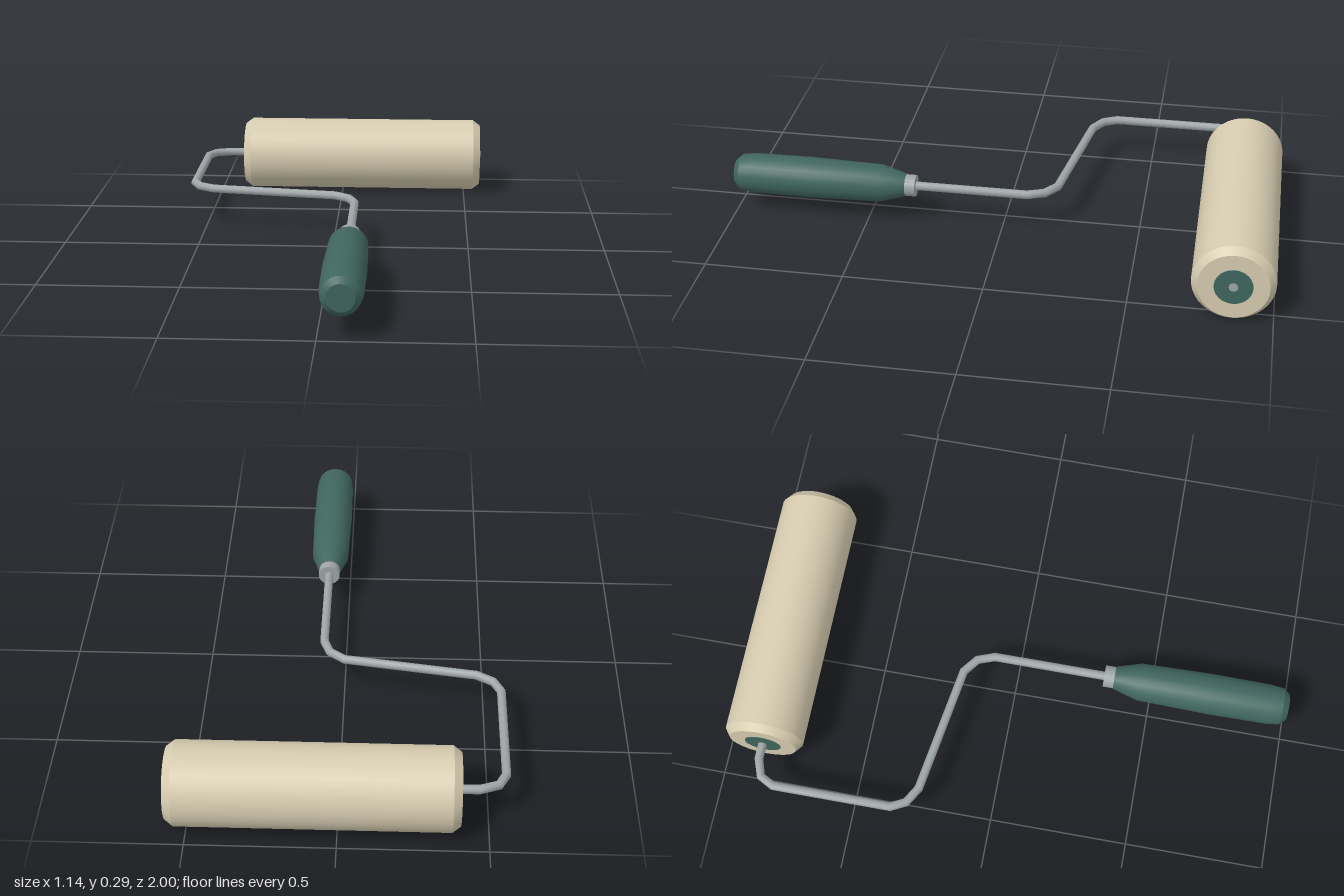
import * as THREE from 'three';
import { toCreasedNormals } from 'three/addons/utils/BufferGeometryUtils.js';

const Y = 0.143; // height of every axis
const ROLLER_Z = -0.858;
const HANDLE_X = 0.077;

// Polyline curve whose samples land exactly on its corners, with mitred tangents
class BentWire extends THREE.Curve {
  constructor(points) {
    super();
    this.points = points;
  }
  getPointAt(t, target = new THREE.Vector3()) {
    const f = t * (this.points.length - 1);
    const i = Math.min(Math.floor(f + 1e-6), this.points.length - 2);
    return target.lerpVectors(this.points[i], this.points[i + 1], f - i);
  }
  getTangentAt(t, target = new THREE.Vector3()) {
    const p = this.points, last = p.length - 1;
    const i = Math.round(t * last);
    target.set(0, 0, 0);
    if (i > 0) target.add(p[i].clone().sub(p[i - 1]).normalize());
    if (i < last) target.add(p[i + 1].clone().sub(p[i]).normalize());
    return target.normalize();
  }
}

// Turned solid from [radius, height] pairs, with sharp rims
function turned(profile, sides) {
  const points = profile.map(([r, h]) => new THREE.Vector2(r, h));
  return toCreasedNormals(new THREE.LatheGeometry(points, sides), 0.5);
}

export function createModel() {
  const model = new THREE.Group();
  model.name = 'paintRoller';

  const nap = new THREE.MeshStandardMaterial({ color: 0xd6ccb0 });
  nap.name = 'cream nap';
  const grip = new THREE.MeshStandardMaterial({ color: 0x40665f });
  grip.name = 'green plastic';
  const steel = new THREE.MeshStandardMaterial({ color: 0x9fa5a7 });
  steel.name = 'grey steel';

  const add = (name, geometry, material, x, y, z) => {
    const mesh = new THREE.Mesh(geometry, material);
    mesh.name = name;
    mesh.position.set(x, y, z);
    model.add(mesh);
    return mesh;
  };

  // Roller sleeve with bevelled ends, lying along x
  const sleeve = turned([
    [0, -0.405], [0.122, -0.405], [0.143, -0.377],
    [0.143, 0.536], [0.122, 0.564], [0, 0.564],
  ], 40);
  add('rollerSleeve', sleeve.rotateZ(-Math.PI / 2), nap, 0, Y, ROLLER_Z);

  // End caps
  for (const [name, x] of [['rightEndCap', -0.405], ['leftEndCap', 0.564]]) {
    const cap = new THREE.CylinderGeometry(0.066, 0.066, 0.005, 24);
    add(name, cap.rotateZ(Math.PI / 2), grip, x, Y, ROLLER_Z);
  }

  // Axle tip
  const tip = new THREE.CylinderGeometry(0.016, 0.016, 0.05, 10);
  add('axleTip', tip.rotateZ(Math.PI / 2), steel, 0.544, Y, ROLLER_Z);

  // Bent wire frame, from inside the handle to inside the sleeve
  const path = [
    [HANDLE_X, 0.4], [HANDLE_X, -0.09], [0.054, -0.152], [0, -0.193],
    [-0.47, -0.267], [-0.529, -0.302], [-0.555, -0.355],
    [-0.555, -0.785], [-0.529, -0.835], [-0.465, ROLLER_Z], [-0.38, ROLLER_Z],
  ].map(([x, z]) => new THREE.Vector3(x, 0, z));
  const wire = new THREE.TubeGeometry(new BentWire(path), path.length - 1, 0.016, 10);
  add('wireFrame', wire, steel, 0, Y, 0);

  // Ferrule at the front of the grip
  const ferrule = new THREE.CylinderGeometry(0.04, 0.04, 0.05, 20);
  add('ferrule', ferrule.rotateX(Math.PI / 2), steel, HANDLE_X, Y, 0.345);

  // Grip, lying along z
  const handle = turned([
    [0, 0.358], [0.042, 0.358], [0.069, 0.45], [0.075, 0.72],
    [0.073, 0.93], [0.067, 0.978], [0.047, 1], [0, 1],
  ], 24);
  add('handle', handle.rotateX(Math.PI / 2), grip, HANDLE_X, Y, 0);

  return model;
}
